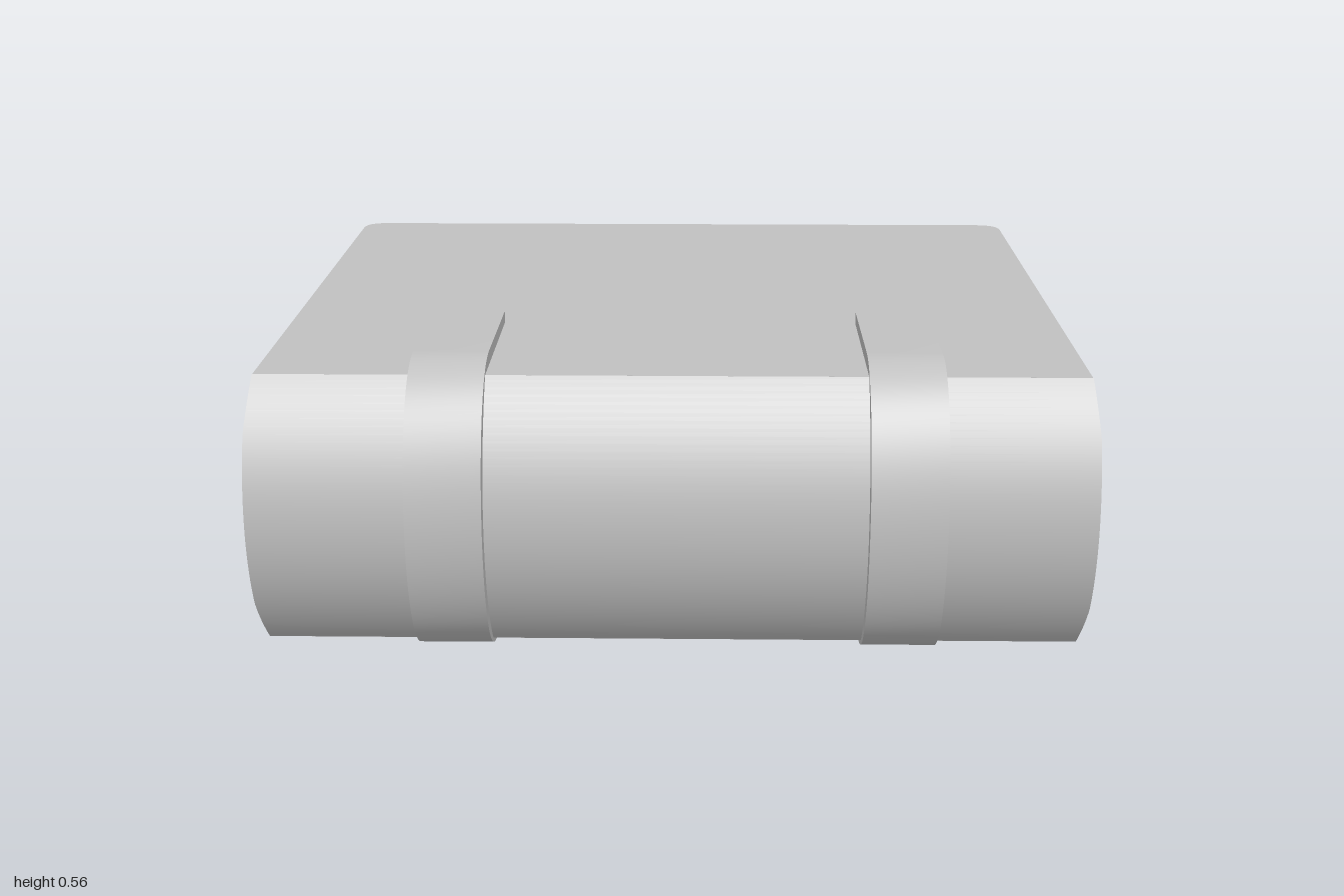
import * as THREE from 'three';
import { toCreasedNormals } from 'three/addons/utils/BufferGeometryUtils.js';

// Local frame: x runs from fore edge to spine, y is thickness (0 = middle), z runs along the spine.
const FORE = -0.68, JOINT = 0.545, INNER = 0.165, OUTER = 0.265, HALF = 0.757;

// Extrude a closed x-y profile along z, centred on zMid
function alongSpine(shape, length, zMid = 0) {
  const g = new THREE.ExtrudeGeometry(shape, { depth: length, bevelEnabled: false, curveSegments: 20 });
  return g.translate(0, 0, zMid - length / 2);
}

// Slight draft: ends pull in towards the outer faces
function draft(g) {
  const p = g.attributes.position;
  for (let i = 0; i < p.count; i++) {
    const t = Math.max(0, Math.abs(p.getY(i)) - INNER) / (OUTER - INNER);
    p.setZ(i, p.getZ(i) * (1 - 0.012 * t));
  }
  return g;
}

// Board with two rounded fore-edge corners, thinning slightly towards the spine
function coverGeometry() {
  const r = 0.05;
  const s = new THREE.Shape();
  s.moveTo(JOINT, -HALF);
  s.lineTo(JOINT, HALF);
  s.lineTo(FORE + r, HALF);
  s.quadraticCurveTo(FORE, HALF, FORE, HALF - r);
  s.lineTo(FORE, -HALF + r);
  s.quadraticCurveTo(FORE, -HALF, FORE + r, -HALF);
  const g = new THREE.ExtrudeGeometry(s, { depth: OUTER - INNER, bevelEnabled: false, curveSegments: 8 });
  g.rotateX(Math.PI / 2).translate(0, OUTER, 0);
  draft(g);
  const p = g.attributes.position;
  for (let i = 0; i < p.count; i++) {
    if (p.getY(i) > OUTER - 0.01) p.setY(i, OUTER - 0.01 * (p.getX(i) - FORE) / (JOINT - FORE));
  }
  return g;
}

// Rounded back with a hollow inner side
function spineGeometry() {
  const s = new THREE.Shape();
  const a = Math.asin(0.255 / 0.375);
  s.moveTo(0.46, -INNER);
  s.lineTo(JOINT, -INNER);
  s.lineTo(JOINT, -0.255);
  s.absarc(0.27, 0, 0.375, -a, a, false);
  s.lineTo(JOINT, INNER);
  s.lineTo(0.46, INNER);
  s.quadraticCurveTo(0.54, 0, 0.46, -INNER);
  return draft(alongSpine(s, HALF * 2));
}

// Page block with a concave fore edge
function pagesGeometry() {
  const s = new THREE.Shape();
  s.moveTo(-0.66, -INNER);
  s.lineTo(0.52, -INNER);
  s.lineTo(0.52, INNER);
  s.lineTo(-0.66, INNER);
  s.quadraticCurveTo(-0.534, 0, -0.66, -INNER);
  return alongSpine(s, 1.45);
}

// Strap wrapping the spine and lying on both covers
function bandGeometry(z) {
  const s = new THREE.Shape();
  s.moveTo(0.195, -0.28);
  s.lineTo(0.475, -0.28);
  s.bezierCurveTo(0.6, -0.28, 0.67, -0.14, 0.67, 0);
  s.bezierCurveTo(0.67, 0.14, 0.6, 0.28, 0.475, 0.28);
  s.lineTo(0.195, 0.28);
  s.lineTo(0.195, 0.245);
  s.lineTo(0.5, 0.235);
  s.lineTo(0.6, 0);
  s.lineTo(0.5, -0.235);
  s.lineTo(0.195, -0.245);
  return alongSpine(s, 0.137, z);
}

export function createModel() {
  const grey = new THREE.MeshStandardMaterial({ color: 0xc0c0c0 });
  grey.name = 'light grey';

  const book = new THREE.Group();
  book.name = 'book';
  const add = (name, geometry) => {
    const mesh = new THREE.Mesh(toCreasedNormals(geometry, 0.5), grey);
    mesh.name = name;
    book.add(mesh);
  };

  add('topCover', coverGeometry());
  add('bottomCover', coverGeometry().rotateX(Math.PI));
  add('spine', spineGeometry());
  add('pages', pagesGeometry());
  [-0.42, 0.4].forEach((z, i) => add('spineBand' + (i + 1), bandGeometry(z)));

  // Lying flat, turned on the ground
  book.position.y = 0.28;
  book.rotation.y = -0.727;

  const model = new THREE.Group();
  model.name = 'closedBook';
  model.add(book);
  return model;
}
